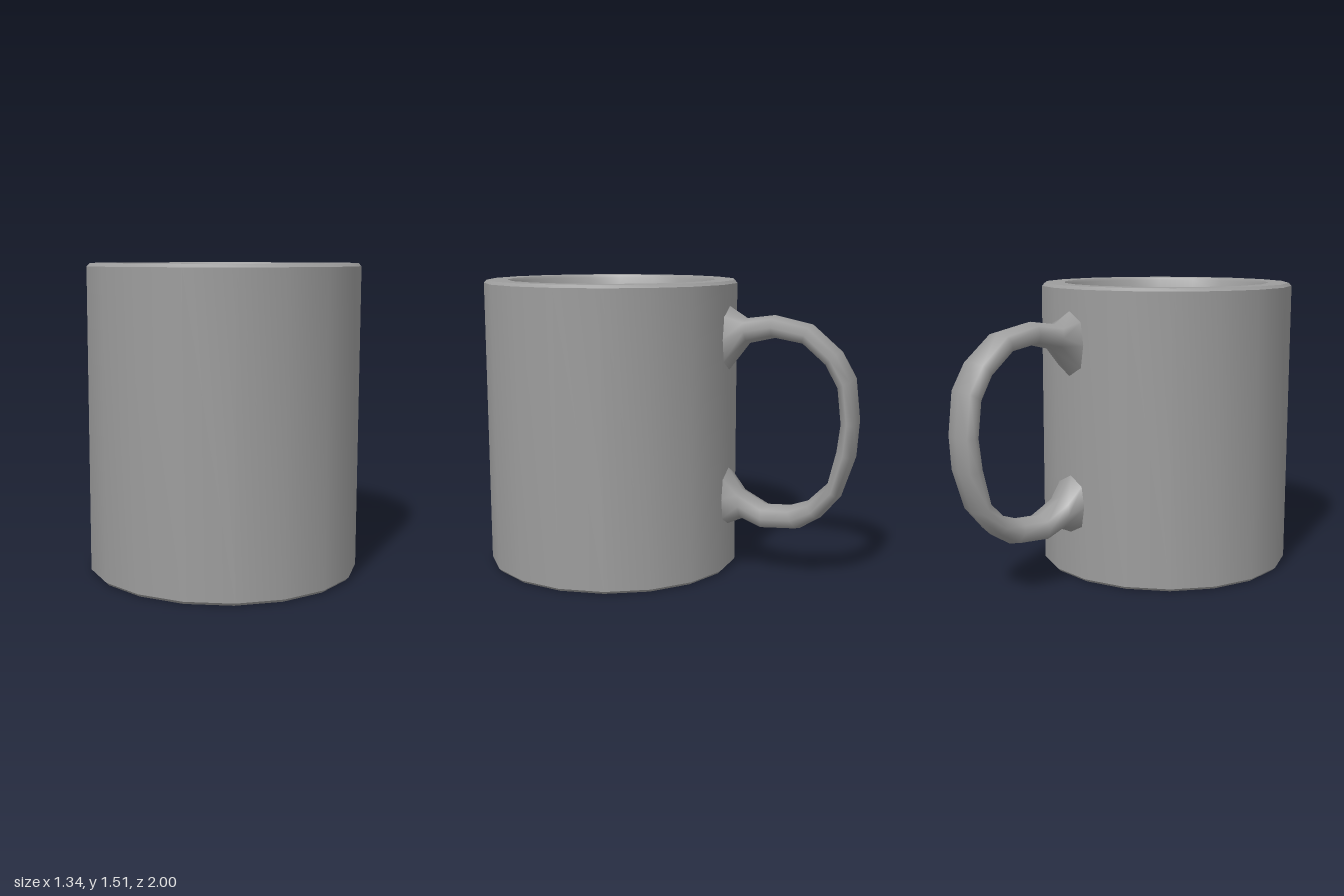
import * as THREE from 'three';
import { toCreasedNormals } from 'three/addons/utils/BufferGeometryUtils.js';

const material = new THREE.MeshStandardMaterial({ color: 0x9c9c9c });
const SIDES = 18, CENTRE_Z = 0.34;

// Closed profile of the cup: base, outer wall, bevelled rim, filled bowl
function makeCup() {
  const profile = [
    [0, 0], [0.655, 0], [0.67, 0.015], [0.67, 1.5], [0.655, 1.515],
    [0.55, 1.515], [0.54, 1.5], [0.535, 1.42], [0.5, 1.33], [0.44, 1.28], [0.34, 1.265], [0, 1.265],
  ].map(([r, y]) => new THREE.Vector2(r, y));
  const lathe = new THREE.LatheGeometry(profile, SIDES, Math.PI / SIDES);
  const cup = new THREE.Mesh(toCreasedNormals(lathe, 0.75), material);
  cup.name = 'cup';
  cup.position.z = CENTRE_Z;
  return cup;
}

// Handle: oval rings, each spanning an outer and an inner outline point
function makeHandle() {
  // outer z, outer y, inner z, inner y, half width
  const sections = [
    [-0.31, 1.395, -0.31, 1.05, 0.115],
    [-0.41, 1.33, -0.43, 1.205, 0.09],
    [-0.56, 1.35, -0.56, 1.235, 0.09],
    [-0.75, 1.31, -0.71, 1.21, 0.095],
    [-0.90, 1.18, -0.83, 1.11, 0.1],
    [-0.975, 1.05, -0.89, 1.0, 0.1],
    [-1.0, 0.83, -0.91, 0.83, 0.1],
    [-0.99, 0.66, -0.89, 0.68, 0.1],
    [-0.92, 0.45, -0.85, 0.51, 0.1],
    [-0.82, 0.33, -0.75, 0.41, 0.1],
    [-0.71, 0.26, -0.65, 0.375, 0.095],
    [-0.52, 0.245, -0.52, 0.37, 0.09],
    [-0.41, 0.285, -0.39, 0.44, 0.09],
    [-0.31, 0.24, -0.31, 0.56, 0.115],
  ];
  const around = 8, positions = [], index = [];
  sections.forEach(([oz, oy, iz, iy, w], s) => {
    for (let k = 0; k < around; k++) {
      const a = (k / around) * Math.PI * 2;
      const t = (1 - Math.cos(a)) / 2;
      // slightly squared oval
      const x = Math.sign(Math.sin(a)) * Math.min(1, Math.abs(Math.sin(a)) * 1.15) * w;
      positions.push(x, oy + (iy - oy) * t, oz + (iz - oz) * t);
      if (s === 0) continue;
      const n = (k + 1) % around, p = (s - 1) * around, q = s * around;
      index.push(p + k, p + n, q + k, p + n, q + n, q + k);
    }
  });
  const geometry = new THREE.BufferGeometry();
  geometry.setAttribute('position', new THREE.Float32BufferAttribute(positions, 3));
  geometry.setIndex(index);
  geometry.computeVertexNormals();
  const handle = new THREE.Mesh(geometry, material);
  handle.name = 'handle';
  return handle;
}

export function createModel() {
  const mug = new THREE.Group();
  mug.name = 'mug';
  mug.add(makeCup(), makeHandle());
  return mug;
}
